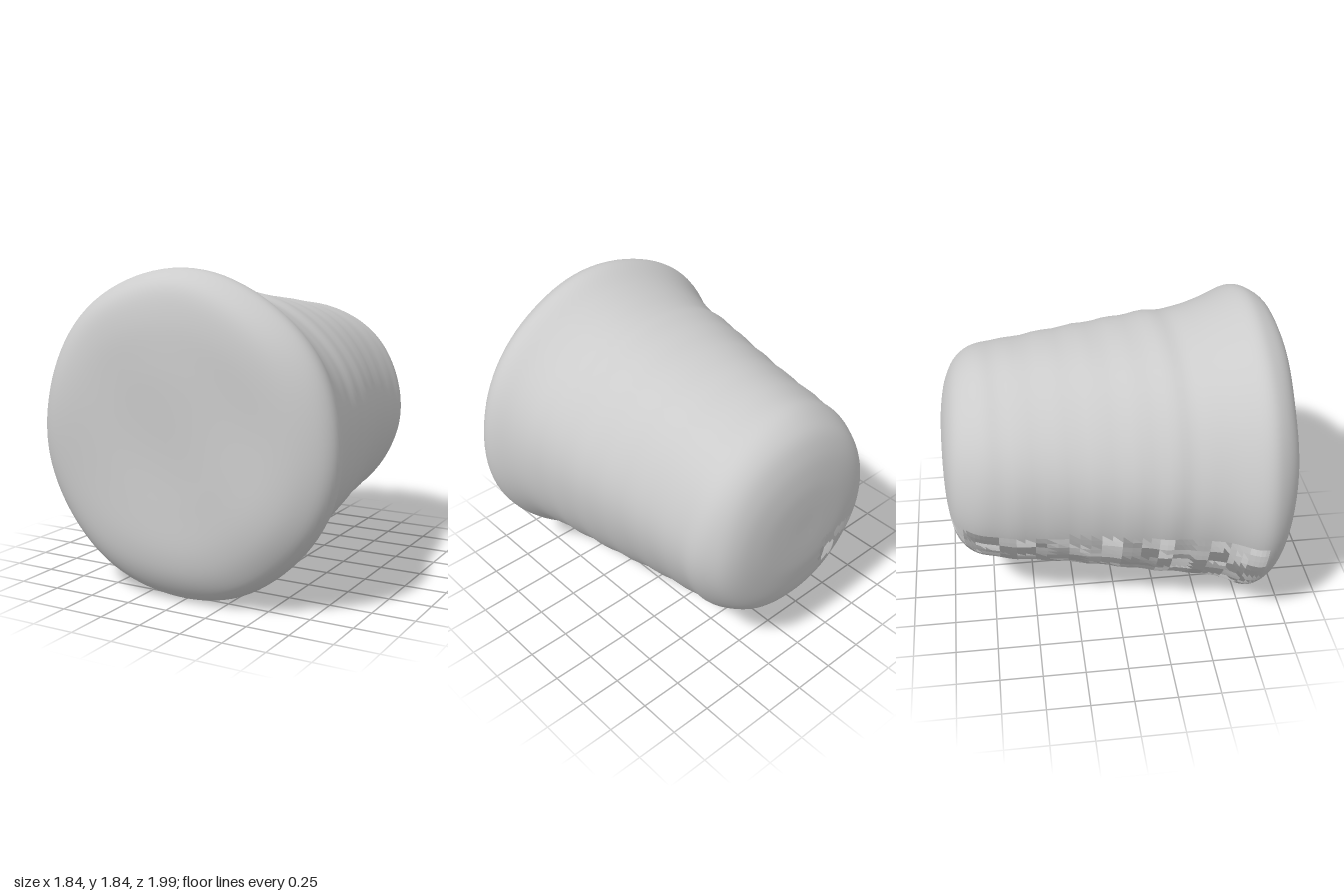
import * as THREE from 'three';

// Cross-sections from back to front: z, left (-x), right (+x), bottom y, top y
const SECTIONS = [
  [-0.995, 0, 0, 0.92, 0.92],
  [-0.995, 0.17, 0.18, 0.74, 1.08],
  [-0.985, 0.33, 0.35, 0.60, 1.22],
  [-0.95, 0.485, 0.50, 0.43, 1.37],
  [-0.88, 0.57, 0.60, 0.325, 1.495],
  [-0.75, 0.625, 0.66, 0.27, 1.565],
  [-0.60, 0.655, 0.665, 0.24, 1.585],
  [-0.30, 0.69, 0.70, 0.20, 1.63],
  [0, 0.745, 0.76, 0.155, 1.667],
  [0.25, 0.79, 0.795, 0.115, 1.705],
  [0.42, 0.81, 0.82, 0.09, 1.715],
  [0.60, 0.85, 0.86, 0.06, 1.775],
  [0.76, 0.92, 0.92, 0, 1.84],
  [0.86, 0.90, 0.89, 0.045, 1.82],
  [0.94, 0.81, 0.78, 0.15, 1.74],
  [0.975, 0.68, 0.64, 0.30, 1.58],
  [0.98, 0.45, 0.43, 0.52, 1.36],
  [0.98, 0.22, 0.21, 0.72, 1.14],
  [0.98, 0, 0, 0.92, 0.92],
];
const ROWS = 90, SEGS = 96;

const curve = (pts) => new THREE.CatmullRomCurve3(pts, false, 'catmullrom', 0.5);
const hash = (a, b, c) => {
  const s = Math.sin(a * 127.1 + b * 311.7 + c * 74.7) * 43758.5453;
  return s - Math.floor(s);
};

// Lofted skin with gentle hand-modelled lumps
function skin() {
  const wide = curve(SECTIONS.map((s) => new THREE.Vector3(s[0], s[1], s[2])));
  const tall = curve(SECTIONS.map((s) => new THREE.Vector3(s[0], s[3], s[4])));
  const pos = [], index = [];
  for (let i = 0; i <= ROWS; i++) {
    const w = wide.getPoint(i / ROWS), t = tall.getPoint(i / ROWS);
    const cap = i === 0 || i === ROWS;
    for (let j = 0; j < SEGS; j++) {
      const a = (j / SEGS) * Math.PI * 2, c = Math.cos(a), s = Math.sin(a);
      const z = w.x;
      const lump = cap ? 1 : 1 + 0.006 * Math.sin(3 * a + 2 * z) + 0.004 * Math.sin(7 * a - 3 * z)
        + 0.005 * Math.sin(z * 30 + Math.sin(a * 2)) * THREE.MathUtils.smoothstep(0.6 - z, 0, 0.3);
      const x = c * (c < 0 ? w.y : w.z) * lump;
      const y = 0.92 + s * (s < 0 ? 0.92 - t.y : t.z - 0.92) * lump;
      // front face leans slightly and carries shallow dents
      const face = THREE.MathUtils.smoothstep(z, 0.85, 0.97);
      const dz = face * (0.015 * (y - 0.92) - 0.008 * x + 0.007 * Math.sin(5 * x + 2) * Math.sin(6 * y + x * 3));
      pos.push(x, Math.max(0, y), z + dz);
      if (i < ROWS) {
        const k = (j + 1) % SEGS, p = i * SEGS, q = p + SEGS;
        if (i > 0) index.push(p + j, p + k, q + k);
        if (i === 0) index.push(p + j, q + k, q + j);
        else if (i < ROWS - 1) index.push(p + j, q + k, q + j);
      }
    }
  }
  const g = new THREE.BufferGeometry();
  g.setAttribute('position', new THREE.Float32BufferAttribute(pos, 3));
  g.setIndex(index);
  g.computeVertexNormals();
  return g;
}

// Splits the skin into the triangles inside or outside the crazed patch
function part(g, wantPatch) {
  const p = g.attributes.position, out = [], src = g.index.array;
  for (let n = 0; n < src.length; n += 3) {
    const tri = [src[n], src[n + 1], src[n + 2]];
    const mid = (f) => tri.reduce((sum, v) => sum + f(v), 0) / 3;
    const inside = mid((v) => p.getX(v)) < -0.15 && mid((v) => p.getY(v)) < 0.75 && mid((v) => p.getZ(v)) < 0.8;
    if (inside === wantPatch) out.push(...tri);
  }
  const r = g.clone();
  r.setIndex(out);
  return r;
}

// Tilts the shading of each small tile so the patch reads as broken facets
function crazed(g) {
  const r = g.toNonIndexed(), p = r.attributes.position, nrm = r.attributes.normal;
  const v = new THREE.Vector3();
  for (let n = 0; n < p.count; n += 3) {
    const m = new THREE.Vector3();
    v.set(0, 0, 0);
    for (let k = n; k < n + 3; k++) {
      m.add(new THREE.Vector3().fromBufferAttribute(p, k));
      v.add(new THREE.Vector3().fromBufferAttribute(nrm, k));
    }
    m.divideScalar(3);
    v.normalize();
    const tile = [Math.floor(m.x * 11), Math.floor(m.y * 9), Math.floor(m.z * 10)];
    v.x += (hash(...tile) - 0.5) * 0.9;
    v.y += (hash(tile[1], tile[2], tile[0]) - 0.5) * 0.9;
    v.z += (hash(tile[2], tile[0], tile[1]) - 0.5) * 0.9;
    v.normalize();
    for (let k = n; k < n + 3; k++) nrm.setXYZ(k, v.x, v.y, v.z);
  }
  return r;
}

export function createModel() {
  const group = new THREE.Group();
  group.name = 'flaredPlug';
  const material = new THREE.MeshStandardMaterial({ color: 0xcccccc });
  const whole = skin();

  const body = new THREE.Mesh(part(whole, false), material);
  body.name = 'flaredBody';
  const patch = new THREE.Mesh(crazed(part(whole, true)), material);
  patch.name = 'crazedPatch';
  group.add(body, patch);
  return group;
}
